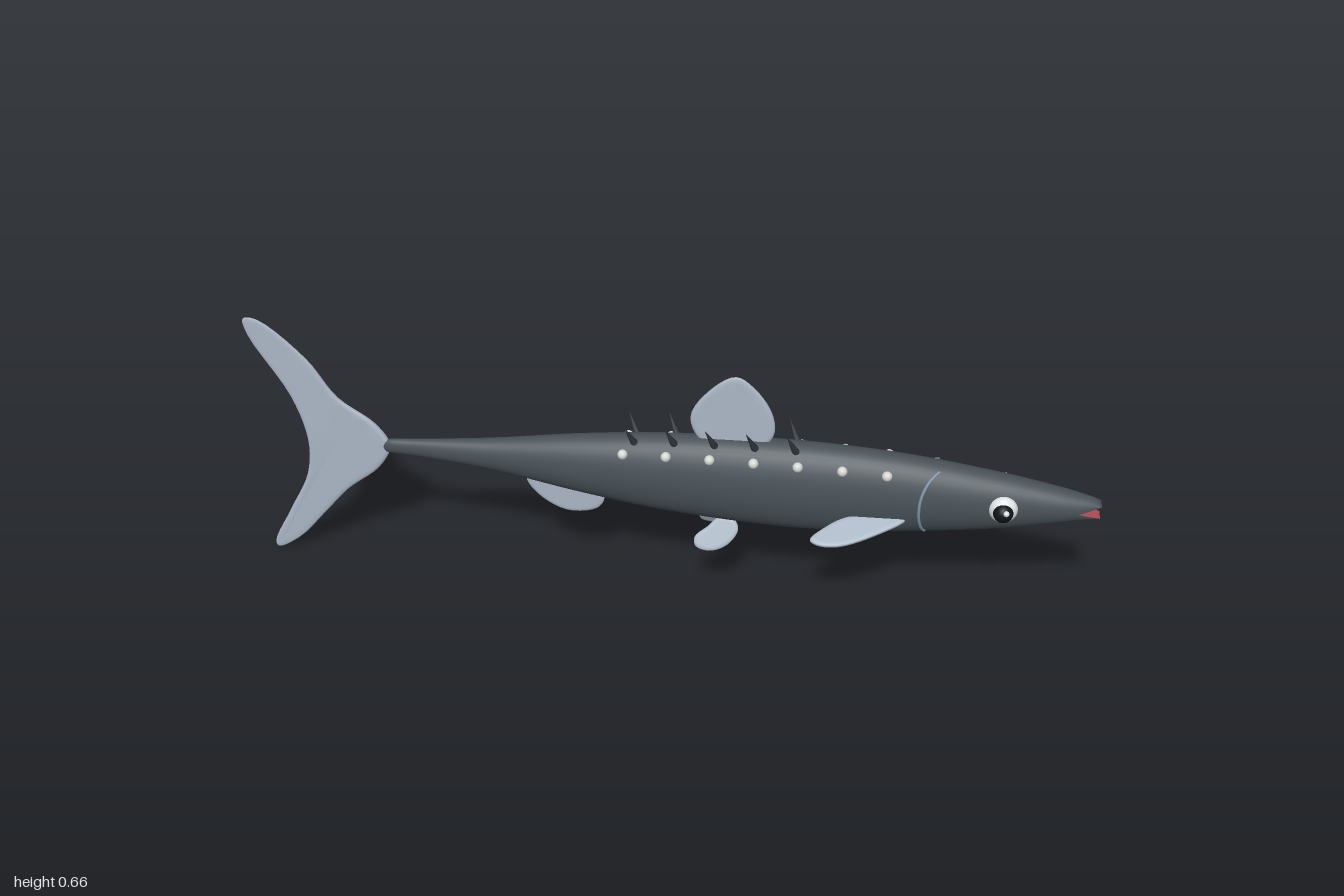
import * as THREE from 'three';
import { mergeVertices } from 'three/addons/utils/BufferGeometryUtils.js';

const mat = (name, color, side = THREE.FrontSide) => {
  const m = new THREE.MeshStandardMaterial({ color, side });
  m.name = name;
  return m;
};

// Body profile: x, top, bottom, half width
const PROFILE = [
  [-0.695, 0.345, 0.335, 0.002], [-0.68, 0.358, 0.325, 0.010], [-0.60, 0.366, 0.320, 0.015],
  [-0.42, 0.386, 0.303, 0.029], [-0.20, 0.419, 0.264, 0.050], [0, 0.440, 0.235, 0.061],
  [0.27, 0.450, 0.219, 0.066], [0.45, 0.446, 0.225, 0.064], [0.60, 0.434, 0.242, 0.060],
  [0.78, 0.409, 0.270, 0.050], [0.90, 0.387, 0.296, 0.038], [0.95, 0.376, 0.308, 0.030],
  [1.0, 0.363, 0.320, 0.015],
];

// Smooth interpolation of the profile at x
function profileAt(x) {
  const n = PROFILE.length;
  let i = 0;
  while (i < n - 2 && x > PROFILE[i + 1][0]) i++;
  const slope = (k, c) => {
    const a = PROFILE[Math.max(k - 1, 0)], b = PROFILE[Math.min(k + 1, n - 1)];
    return (b[c] - a[c]) / (b[0] - a[0]);
  };
  const p = PROFILE[i], q = PROFILE[i + 1], d = q[0] - p[0], u = (x - p[0]) / d;
  const [top, bottom, w] = [1, 2, 3].map((c) =>
    p[c] * (1 + 2 * u) * (1 - u) ** 2 + q[c] * u * u * (3 - 2 * u) +
    d * (slope(i, c) * u * (1 - u) ** 2 + slope(i + 1, c) * u * u * (u - 1)));
  return { c: (top + bottom) / 2, h: (top - bottom) / 2, top, bottom, w };
}

// Point on the body's left side at a given angle above the horizontal
function onBody(x, angle, lift = 0) {
  const s = profileAt(x);
  return new THREE.Vector3(x, s.c + (s.h + lift) * Math.sin(angle), (s.w + lift) * Math.cos(angle));
}

// Skin a run of cross-sections; f(x, t) gives [y, z]
function loft(x0, x1, nx, t0, t1, nt, f) {
  const pos = [], idx = [];
  for (let i = 0; i <= nx; i++) {
    const x = x0 + (x1 - x0) * i / nx;
    for (let j = 0; j <= nt; j++) pos.push(x, ...f(x, t0 + (t1 - t0) * j / nt));
  }
  for (let i = 0; i < nx; i++) for (let j = 0; j < nt; j++) {
    const a = i * (nt + 1) + j, b = a + nt + 1;
    idx.push(a, b, a + 1, b, b + 1, a + 1);
  }
  let g = new THREE.BufferGeometry();
  g.setAttribute('position', new THREE.Float32BufferAttribute(pos, 3));
  g.setIndex(idx);
  g = mergeVertices(g, 1e-5);
  g.computeVertexNormals();
  return g;
}

// Soft-edged fin from a closed outline; thin(x, y) scales its thickness
function finGeometry(points, half, bevel, thin = () => 1) {
  const curve = new THREE.CatmullRomCurve3(points.map(([x, y]) => new THREE.Vector3(x, y, 0)), true);
  const shape = new THREE.Shape(curve.getPoints(points.length * 5).slice(0, -1).map((p) => new THREE.Vector2(p.x, p.y)));
  let g = new THREE.ExtrudeGeometry(shape, {
    depth: half * 0.6, bevelThickness: half * 0.7, bevelSize: bevel, bevelOffset: -bevel, bevelSegments: 4, curveSegments: 1,
  });
  g.translate(0, 0, -half * 0.3);
  const p = g.attributes.position;
  for (let i = 0; i < p.count; i++) p.setZ(i, p.getZ(i) * thin(p.getX(i), p.getY(i)));
  g.deleteAttribute('normal');
  g.deleteAttribute('uv');
  g = mergeVertices(g, 1e-5);
  g.computeVertexNormals();
  return g;
}

export function createModel() {
  const root = new THREE.Group();
  root.name = 'fish';
  const skin = mat('slate skin', 0x485157);
  const finMat = mat('pale fin', 0xaab6c4);
  const gillMat = mat('gill blue', 0x7d95a8);
  const spotMat = mat('light spot', 0xd6d8d4);
  const spineMat = mat('dark spine', 0x2b3236);
  const white = mat('eye white', 0xe0e4e4);
  const black = mat('pupil black', 0x121416);
  const red = mat('mouth red', 0xb04a56, THREE.DoubleSide);
  const add = (name, geo, m, parent = root) => {
    const mesh = new THREE.Mesh(geo, m);
    mesh.name = name;
    parent.add(mesh);
    return mesh;
  };

  // Body, ending where the mouth opens
  const mouthX = 0.95, mouthY = 0.339;
  add('body', loft(-0.695, mouthX, 90, 0, Math.PI * 2, 40, (x, t) => {
    const s = profileAt(x);
    return [s.c + s.h * Math.sin(t), s.w * Math.cos(t)];
  }), skin);

  // Jaws with red inner faces
  for (const [name, dir] of [['upper', 1], ['lower', -1]]) {
    const lip = (x) => mouthY + dir * 0.016 * (x - mouthX) / (1 - mouthX);
    const start = dir > 0 ? 0 : Math.PI;
    add(name + 'Jaw', loft(mouthX, 1, 12, start, start + Math.PI, 20, (x, t) => {
      const s = profileAt(x), u = (x - mouthX) / (1 - mouthX);
      const h = Math.abs((dir > 0 ? s.top : s.bottom) - lip(x)) * Math.sqrt(Math.max(0, 1 - u ** 6));
      return [lip(x) + h * Math.sin(t), s.w * Math.cos(t)];
    }), skin);
    add(name + 'MouthLining', loft(mouthX, 1, 12, 0, Math.PI, 8,
      (x, t) => [lip(x), profileAt(x).w * Math.cos(t)]), red);
  }

  // Middle fins
  add('tailFin', finGeometry([
    [-0.99, 0.662], [-0.955, 0.660], [-0.85, 0.565], [-0.785, 0.465], [-0.70, 0.400], [-0.668, 0.342],
    [-0.70, 0.278], [-0.785, 0.205], [-0.85, 0.130], [-0.93, 0.040], [-0.99, 0.004], [-0.996, 0.018],
    [-0.94, 0.130], [-0.885, 0.240], [-0.872, 0.340], [-0.90, 0.460], [-0.985, 0.620],
  ], 0.008, 0.012, (x, y) => 1 - 0.6 * Math.min(1, Math.abs(y - 0.338) / 0.33)), finMat);
  add('dorsalFin', finGeometry([
    [0.09, 0.43], [0.057, 0.495], [0.10, 0.570], [0.16, 0.611], [0.205, 0.582], [0.245, 0.520], [0.25, 0.465], [0.22, 0.43],
  ], 0.008, 0.012, (x, y) => 1 - 2.5 * Math.max(0, y - 0.43)), finMat);
  add('analFin', finGeometry([
    [-0.335, 0.288], [-0.31, 0.242], [-0.24, 0.202], [-0.165, 0.216], [-0.148, 0.25], [-0.18, 0.285], [-0.26, 0.30],
  ], 0.007, 0.010), finMat);

  // Paired fins: outlines run outward from the root along y
  const pectoral = finGeometry([
    [0.565, -0.008], [0.50, 0.040], [0.42, 0.078], [0.37, 0.080], [0.352, 0.068], [0.385, 0.030], [0.43, 0.0], [0.50, -0.012],
  ], 0.006, 0.009);
  const pelvic = finGeometry([
    [0.165, -0.012], [0.178, 0.014], [0.155, 0.052], [0.115, 0.070], [0.080, 0.062], [0.076, 0.040], [0.105, 0.012], [0.13, -0.012],
  ], 0.006, 0.009);

  for (const [side, s] of [['left', 1], ['right', -1]]) {
    const pec = add(side + 'PectoralFin', pectoral, finMat);
    pec.position.set(0, 0.295, s * 0.060);
    pec.rotation.x = s * THREE.MathUtils.degToRad(114);
    const pel = add(side + 'PelvicFin', pelvic, finMat);
    pel.position.set(0, 0.225, s * 0.028);
    pel.rotation.x = s * THREE.MathUtils.degToRad(152);

    // Eye
    const eye = new THREE.Group();
    eye.name = side + 'Eye';
    eye.position.set(0.78, 0.347, 0);
    root.add(eye);
    const ball = add('eyeWhite', new THREE.SphereGeometry(0.033, 28, 20), white, eye);
    ball.position.z = s * 0.046;
    ball.scale.z = 0.65;
    const pupil = add('pupil', new THREE.SphereGeometry(0.023, 24, 16), black, eye);
    pupil.position.z = s * 0.059;
    const glint = add('eyeGlint', new THREE.SphereGeometry(0.007, 12, 10), white, eye);
    glint.position.set(0.006, 0.010, s * 0.077);

    // Gill line
    const gill = [];
    for (let i = 0; i <= 12; i++) {
      const a = -0.95 + 2.05 * i / 12;
      const p = onBody(0.592 + 0.032 * (a > 0 ? a * a : a * a * 0.6), a, 0.0005);
      gill.push(p.setZ(p.z * s));
    }
    add(side + 'GillLine', new THREE.TubeGeometry(new THREE.CatmullRomCurve3(gill), 36, 0.0035, 8), gillMat);

    // Row of spots
    for (let i = 0; i < 7; i++) {
      const p = onBody(-0.095 + 0.1015 * i, 0.76);
      add(side + 'Spot', new THREE.SphereGeometry(0.012, 14, 10), spotMat).position.set(p.x, p.y, p.z * s);
    }

    // Back spines, leaning outward and toward the tail
    for (let i = 0; i < 5; i++) {
      const p = onBody(-0.072 + 0.0935 * i, 1.2);
      p.z *= s;
      const dir = new THREE.Vector3(-0.020, 0.048, s * 0.016).normalize();
      const spine = add(side + 'Spine', new THREE.ConeGeometry(0.010, 0.062, 12), spineMat);
      spine.quaternion.setFromUnitVectors(new THREE.Vector3(0, 1, 0), dir);
      spine.position.copy(p).addScaledVector(dir, 0.022);
    }
  }
  return root;
}
